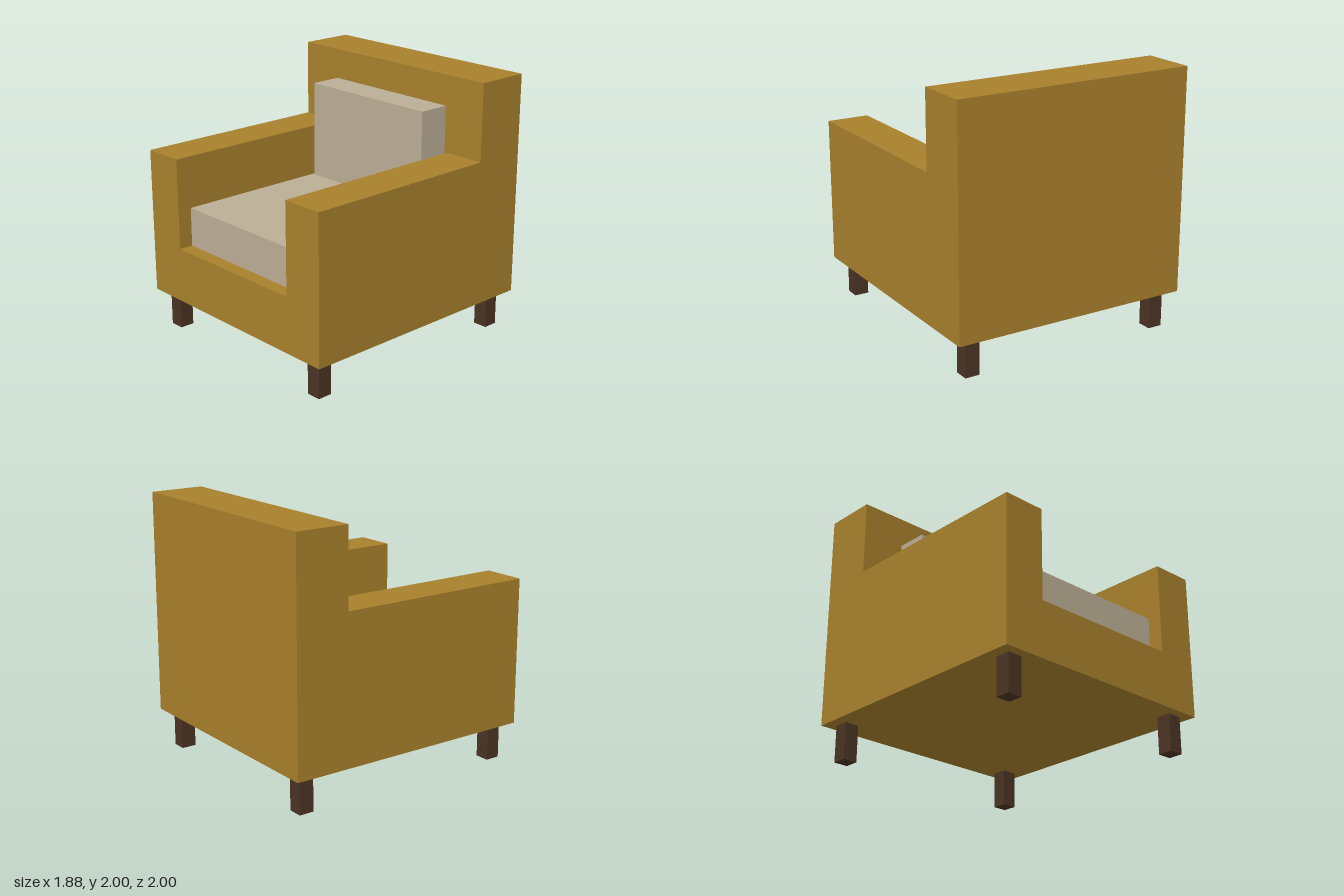
import * as THREE from 'three';

const material = (name, color) => {
  const m = new THREE.MeshStandardMaterial({ color });
  m.name = name;
  return m;
};

// Box given by its minimum and maximum corners
function block(name, mat, [x0, y0, z0], [x1, y1, z1]) {
  const mesh = new THREE.Mesh(new THREE.BoxGeometry(x1 - x0, y1 - y0, z1 - z0), mat);
  mesh.position.set((x0 + x1) / 2, (y0 + y1) / 2, (z0 + z1) / 2);
  mesh.name = name;
  return mesh;
}

export function createModel() {
  const fabric = material('mustard fabric', 0xa8802c);
  const cushion = material('beige cushion', 0xbcae96);
  const wood = material('dark wood', 0x4a3322);

  const chair = new THREE.Group();
  chair.name = 'armchair';

  const W = 0.94, inner = 0.61, bottom = 0.285, seatY = 0.71, armY = 1.41, backZ = -0.58;

  // Base and both arms: one U-shaped profile extruded front to back
  const profile = new THREE.Shape([
    [-W, bottom], [W, bottom], [W, armY], [inner, armY],
    [inner, seatY], [-inner, seatY], [-inner, armY], [-W, armY],
  ].map(([x, y]) => new THREE.Vector2(x, y)));
  const frame = new THREE.Mesh(
    new THREE.ExtrudeGeometry(profile, { depth: 1 - backZ, bevelEnabled: false }), fabric);
  frame.position.z = backZ;
  frame.name = 'baseAndArms';
  chair.add(frame);

  // Backrest
  chair.add(block('backrest', fabric, [-W, bottom, -1], [W, 2, backZ]));

  // Cushions
  chair.add(block('seatCushion', cushion, [-0.608, seatY, -0.565], [0.608, 1.01, 0.89]));
  chair.add(block('backCushion', cushion, [-0.585, 1.01, backZ], [0.585, 1.765, -0.33]));

  // Four square legs
  for (const [side, x] of [['Left', 0.797], ['Right', -0.797]]) {
    for (const [end, z] of [['front', 0.87], ['back', -0.87]]) {
      const r = 0.057;
      chair.add(block(`${end}${side}Leg`, wood, [x - r, 0, z - r], [x + r, bottom, z + r]));
    }
  }
  return chair;
}
